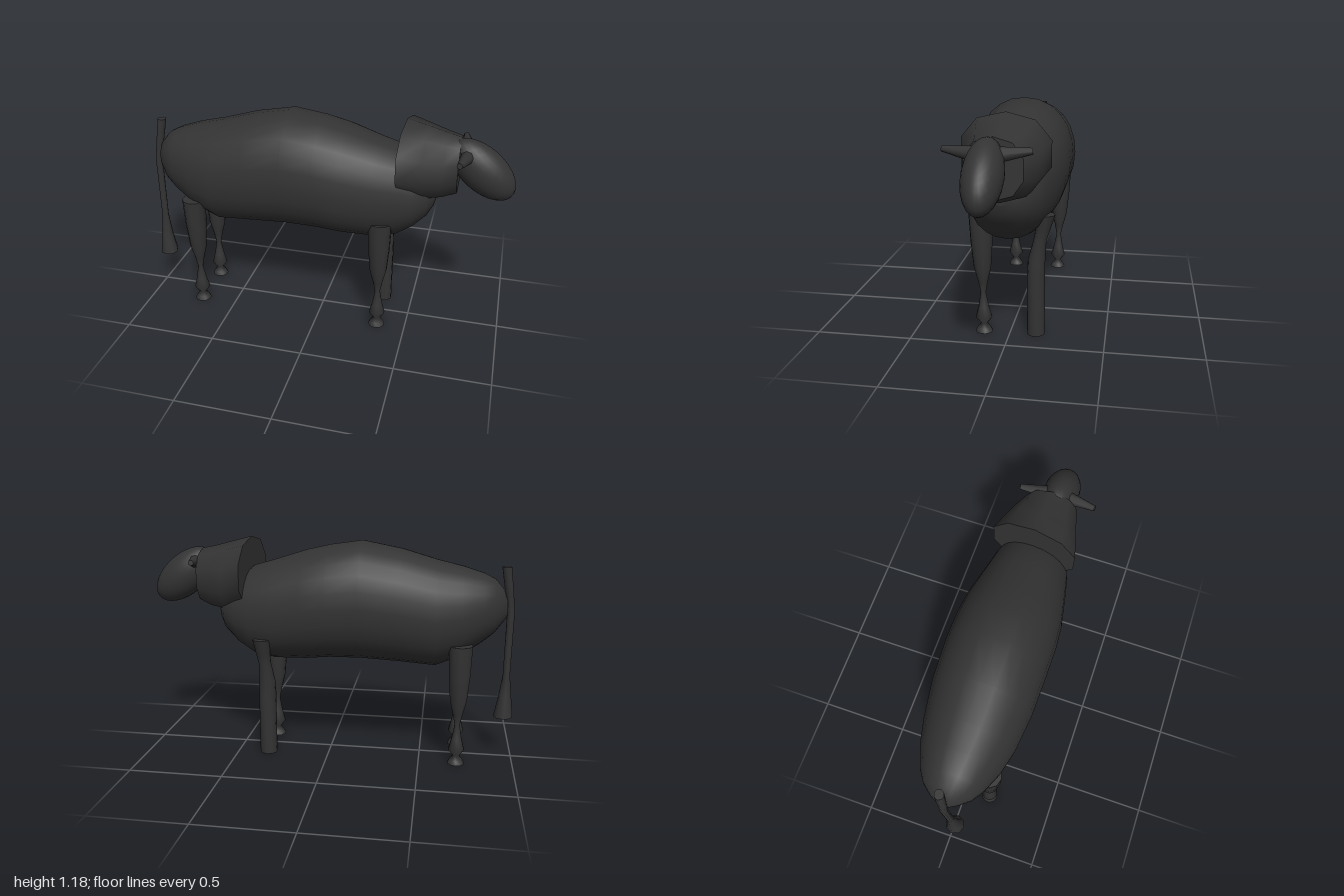
import * as THREE from 'three';

const charcoal = new THREE.MeshStandardMaterial({ color: 0x333333 });
charcoal.name = 'charcoal';

// Skin a closed, capped surface over rings; ringPoint(ring, angle) gives a point.
function loft(rings, sides, ringPoint) {
  const pos = [], index = [];
  const at = (r, j) => ringPoint(r, (j / sides) * Math.PI * 2);
  rings.forEach(r => { for (let j = 0; j < sides; j++) pos.push(...at(r, j)); });
  for (let i = 0; i < rings.length - 1; i++) {
    for (let j = 0; j < sides; j++) {
      const k = (j + 1) % sides;
      const a = i * sides + j, b = i * sides + k, c = a + sides, d = b + sides;
      index.push(a, b, c, b, d, c);
    }
  }
  // flat end caps with their own vertices
  [[rings[0], true], [rings[rings.length - 1], false]].forEach(([r, first]) => {
    const start = pos.length / 3, mid = [0, 0, 0];
    for (let j = 0; j < sides; j++) {
      const p = at(r, j);
      pos.push(...p);
      p.forEach((v, n) => { mid[n] += v / sides; });
    }
    pos.push(...mid);
    for (let j = 0; j < sides; j++) {
      const a = start + j, b = start + (j + 1) % sides, m = start + sides;
      index.push(...(first ? [m, b, a] : [m, a, b]));
    }
  });
  const g = new THREE.BufferGeometry();
  g.setAttribute('position', new THREE.Float32BufferAttribute(pos, 3));
  g.setIndex(index);
  g.computeVertexNormals();
  return g;
}

// Rings standing across x: [x, bottom, top, halfWidth, centreZ, skew]
const acrossX = (power) => ([x, lo, hi, w, cz = 0, skew = 0], a) => {
  const c = Math.cos(a), s = Math.sin(a);
  const z = w * Math.sign(s) * Math.abs(s) ** power;
  return [x - skew * z, (lo + hi) / 2 + ((hi - lo) / 2) * Math.sign(c) * Math.abs(c) ** power, cz + z];
};
// Rings lying across y: [x, y, z, radius]
const acrossY = ([x, y, z, r], a) => [x + r * Math.sin(a), y, z + r * Math.cos(a)];

export function createModel() {
  const model = new THREE.Group();
  const add = (name, geometry) => {
    const mesh = new THREE.Mesh(geometry, charcoal);
    mesh.name = name;
    model.add(mesh);
    return mesh;
  };

  // barrel body, humped in the middle
  add('body', loft([
    [-0.935, 0.79, 0.87, 0.03], [-0.915, 0.76, 0.93, 0.07], [-0.87, 0.70, 0.985, 0.125],
    [-0.81, 0.65, 1.015, 0.165], [-0.7, 0.57, 1.05, 0.21], [-0.57, 0.515, 1.08, 0.242],
    [-0.38, 0.53, 1.135, 0.266], [-0.17, 0.54, 1.175, 0.272], [0, 0.538, 1.15, 0.272],
    [0.13, 0.525, 1.12, 0.262], [0.3, 0.52, 1.065, 0.23], [0.42, 0.545, 1.03, 0.205],
    [0.5, 0.60, 0.97, 0.18], [0.57, 0.67, 0.92, 0.135], [0.6, 0.725, 0.87, 0.08], [0.612, 0.77, 0.83, 0.03],
  ], 24, acrossX(0.94)));

  // flared neck
  add('neck', loft([
    [0.435, 0.80, 1.185, 0.235, 0, 0.08], [0.55, 0.775, 1.155, 0.205, 0, 0.05],
    [0.64, 0.79, 1.13, 0.175], [0.715, 0.82, 1.115, 0.145, 0.01],
  ], 10, acrossX(0.92)));

  // drooping egg-shaped head
  const head = add('head', new THREE.SphereGeometry(1, 24, 16));
  head.scale.set(0.203, 0.112, 0.095);
  head.rotation.z = -0.7;
  head.position.set(0.83, 0.962, 0.033);

  // tapered ears pointing sideways
  [1, -1].forEach(side => {
    const ear = add(side > 0 ? 'rightEar' : 'leftEar', new THREE.CylinderGeometry(0.015, 0.036, 0.15, 8));
    const out = new THREE.Vector3(-0.025, 0.015, side * 0.148).normalize();
    ear.quaternion.setFromUnitVectors(new THREE.Vector3(0, 1, 0), out);
    ear.position.set(0.738, 1.05, 0.033 + side * 0.131);
  });

  // spindle legs with pinched ankles and flared hooves: [height, radius]
  const legProfile = [
    [0, 0.046], [0.02, 0.036], [0.045, 0.017], [0.08, 0.044], [0.14, 0.028], [0.22, 0.014],
    [0.28, 0.026], [0.36, 0.046], [0.5, 0.058], [0.66, 0.064],
  ];
  const spindleLeg = (name, x, z) =>
    add(name, loft(legProfile.map(([y, r]) => [x, y, z + 0.02 * Math.sign(z) * y, r]), 10, acrossY));
  spindleLeg('rightHindLeg', -0.7, 0.138);
  spindleLeg('leftHindLeg', -0.7, -0.138);
  spindleLeg('rightFrontLeg', 0.342, 0.138);

  // straight column leg with a narrow twisted top
  add('leftFrontLeg', loft([
    [0.333, 0, -0.135, 0.047], [0.333, 0.34, -0.135, 0.047], [0.333, 0.41, -0.137, 0.045],
    [0.34, 0.52, -0.155, 0.033], [0.345, 0.58, -0.17, 0.038], [0.348, 0.66, -0.185, 0.048],
  ], 10, acrossY));

  // hanging tail with a flared tuft
  add('tail', loft([
    [-0.948, 0.22, 0.025, 0.052], [-0.952, 0.34, 0.022, 0.034], [-0.953, 0.46, 0.018, 0.019],
    [-0.955, 0.82, 0.012, 0.02], [-0.94, 0.92, 0.006, 0.022], [-0.92, 1.052, -0.005, 0.025],
  ], 8, acrossY));

  return model;
}
